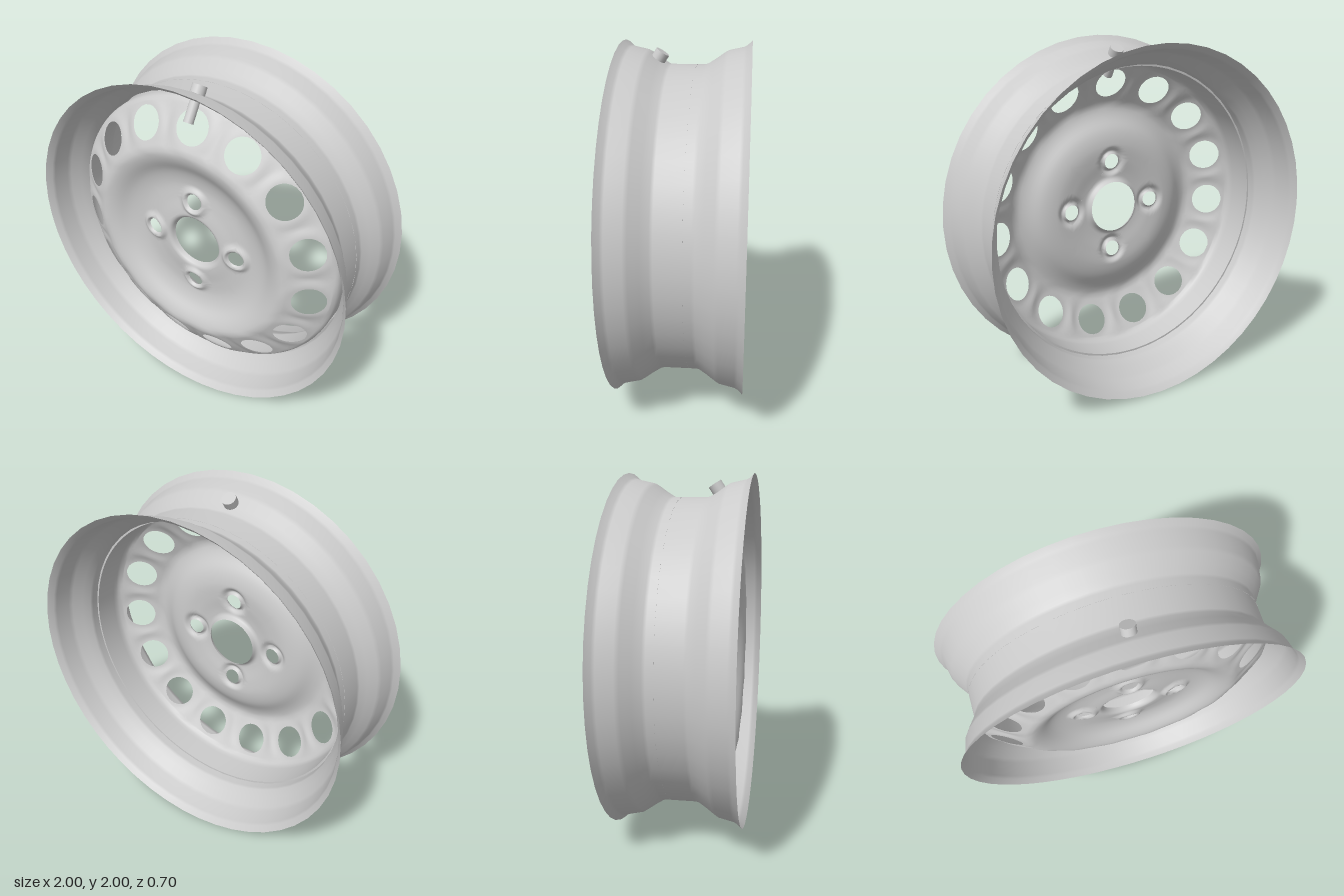
import * as THREE from 'three';
import { mergeGeometries, mergeVertices } from 'three/addons/utils/BufferGeometryUtils.js';

const material = new THREE.MeshStandardMaterial({ color: 0xcccccc, side: THREE.DoubleSide });
const { smoothstep, lerp } = THREE.MathUtils;
const TAU = Math.PI * 2;

// Dish cross-section as [radius, depth] pairs
const dish = [
  [0.152, 0.18], [0.162, 0.202], [0.185, 0.212], [0.29, 0.198], [0.38, 0.195], [0.46, 0.215],
  [0.54, 0.26], [0.6, 0.274], [0.66, 0.245], [0.735, 0.2], [0.84, 0.139],
];
const VENT = { count: 15, r: 0.738, a: 0.083, b: 0.095, inner: 0.62, outer: 0.84 };
const LUG = { count: 4, r: 0.275, a: 0.046, b: 0.046, inner: 0.185, outer: 0.38 };

// Smooth interpolation through the dish cross-section
function dishDepth(r) {
  const last = dish.length - 1;
  let i = 0;
  while (i < last - 1 && r > dish[i + 1][0]) i++;
  const slope = (k) => {
    const p = dish[Math.max(k - 1, 0)], q = dish[Math.min(k + 1, last)];
    return (q[1] - p[1]) / (q[0] - p[0]);
  };
  const [r0, z0] = dish[i], [r1, z1] = dish[i + 1];
  const h = r1 - r0, t = Math.min(Math.max((r - r0) / h, 0), 1), s = 1 - t;
  return z0 * s * s * (1 + 2 * t) + z1 * t * t * (3 - 2 * t) + h * t * s * (s * slope(i) - t * slope(i + 1));
}

// Position relative to the nearest hole of a ring: outward and sideways
function nearHole(x, y, ring) {
  const step = TAU / ring.count;
  const angle = Math.atan2(y, x) - Math.PI / 2;
  const local = angle - Math.round(angle / step) * step;
  const r = Math.hypot(x, y);
  return [r * Math.cos(local) - ring.r, r * Math.sin(local)];
}

// Dish surface with flattened vents and raised lug seats
function surface(x, y) {
  let z = dishDepth(Math.hypot(x, y));
  const [u, v] = nearHole(x, y, VENT);
  const flat = 1 - smoothstep(Math.hypot(u, v), 0.1, 0.16);
  z = lerp(z, 0.204 - 0.577 * u, flat);
  const d = Math.hypot(...nearHole(x, y, LUG));
  z += 0.02 * (1 - smoothstep(d, 0.06, 0.095)) - 0.018 * (1 - smoothstep(d, 0.044, 0.062));
  return new THREE.Vector3(x, y, z);
}

// Sheet of quads from a function of row and column
function sheet(rows, cols, point) {
  const pos = [], index = [];
  for (let i = 0; i <= rows; i++) {
    for (let j = 0; j <= cols; j++) {
      pos.push(...point(i, j).toArray());
      if (i < rows && j < cols) {
        const a = i * (cols + 1) + j, b = a + cols + 1;
        index.push(a, b, b + 1, a, b + 1, a + 1);
      }
    }
  }
  const g = new THREE.BufferGeometry();
  g.setAttribute('position', new THREE.Float32BufferAttribute(pos, 3));
  g.setIndex(index);
  return g;
}

const SEGMENTS = 120;
function plainRing(r0, r1, rows) {
  return sheet(rows, SEGMENTS, (i, j) => {
    const r = lerp(r0, r1, i / rows), a = (j / SEGMENTS) * TAU;
    return surface(r * Math.cos(a), r * Math.sin(a));
  });
}

// One ring sector with an elliptical hole, filled from the hole to the sector border
function holedSector(ring, k, rows) {
  const half = Math.PI / ring.count, n = SEGMENTS / ring.count, m = 10;
  const turn = Math.PI / 2 + k * 2 * half;
  const border = [];
  for (let i = 0; i < m; i++) border.push([lerp(ring.inner, ring.outer, i / m), -half]);
  for (let i = 0; i < n; i++) border.push([ring.outer, lerp(-half, half, i / n)]);
  for (let i = 0; i < m; i++) border.push([lerp(ring.outer, ring.inner, i / m), half]);
  for (let i = 0; i <= n; i++) border.push([ring.inner, lerp(half, -half, i / n)]);
  return sheet(rows, border.length - 1, (i, j) => {
    const [r, a] = border[j];
    const x = r * Math.cos(a), y = r * Math.sin(a);
    const phi = Math.atan2(y / ring.b, (x - ring.r) / ring.a);
    const t = Math.pow(i / rows, 1.5);
    const px = lerp(ring.r + ring.a * Math.cos(phi), x, t);
    const py = lerp(ring.b * Math.sin(phi), y, t);
    return surface(px * Math.cos(turn) - py * Math.sin(turn), px * Math.sin(turn) + py * Math.cos(turn));
  });
}

function discGeometry() {
  const parts = [plainRing(0.152, LUG.inner, 5), plainRing(LUG.outer, VENT.inner, 12)];
  for (const [ring, rows] of [[LUG, 10], [VENT, 6]]) {
    for (let k = 0; k < ring.count; k++) parts.push(holedSector(ring, k, rows));
  }
  // Outer edge rolling back into the mounting flange
  const roll = [[0.84, 0.139], [0.851, 0.128], [0.857, 0.112], [0.858, 0.09], [0.858, -0.05]];
  parts.push(sheet(roll.length - 1, SEGMENTS, (i, j) => {
    const a = (j / SEGMENTS) * TAU, [r, z] = roll[i];
    const x = r * Math.cos(a), y = r * Math.sin(a);
    return new THREE.Vector3(x, y, i === 0 ? surface(x, y).z : z);
  }));
  const g = mergeVertices(mergeGeometries(parts), 1e-4);
  g.computeVertexNormals();
  return g;
}

// Turned part whose axis runs front to back, profile as [radius, depth]
function turned(profile, segments) {
  const g = new THREE.LatheGeometry(profile.map(([r, z]) => new THREE.Vector2(r, z)), segments);
  return g.rotateX(Math.PI / 2);
}

export function createModel() {
  const model = new THREE.Group();
  model.name = 'wheel';
  const add = (name, geometry, parent = model) => {
    const mesh = new THREE.Mesh(geometry, material);
    mesh.name = name;
    mesh.position.y = parent === model ? 1 : 0;
    parent.add(mesh);
    return mesh;
  };

  // Barrel with a dropped centre and flared lips
  const half = [[0.87, 0.09], [0.874, 0.108], [0.9, 0.15], [0.935, 0.2], [0.948, 0.222],
    [0.966, 0.305], [0.974, 0.322], [1, 0.35]];
  const barrel = [...half.map(([r, z]) => [r, -z]).reverse(), ...half];
  add('rimBarrel', turned(barrel, 48));

  // Pressed disc, and the rear edge of its flange
  add('wheelDisc', discGeometry());
  add('flangeEdge', turned([[0.858, -0.05], [0.87, -0.05]], SEGMENTS));

  // Tilted valve: wide base through the barrel, thin stem inside
  const valve = new THREE.Group();
  valve.name = 'valve';
  valve.position.set(0, 1.93, 0.14);
  valve.rotation.x = -0.58;
  model.add(valve);
  const base = add('valveBase', new THREE.CylinderGeometry(0.04, 0.04, 0.05, 20), valve);
  base.position.y = -0.01;
  const stem = add('valveStem', new THREE.CylinderGeometry(0.027, 0.027, 0.16, 16), valve);
  stem.position.y = -0.1;
  return model;
}
